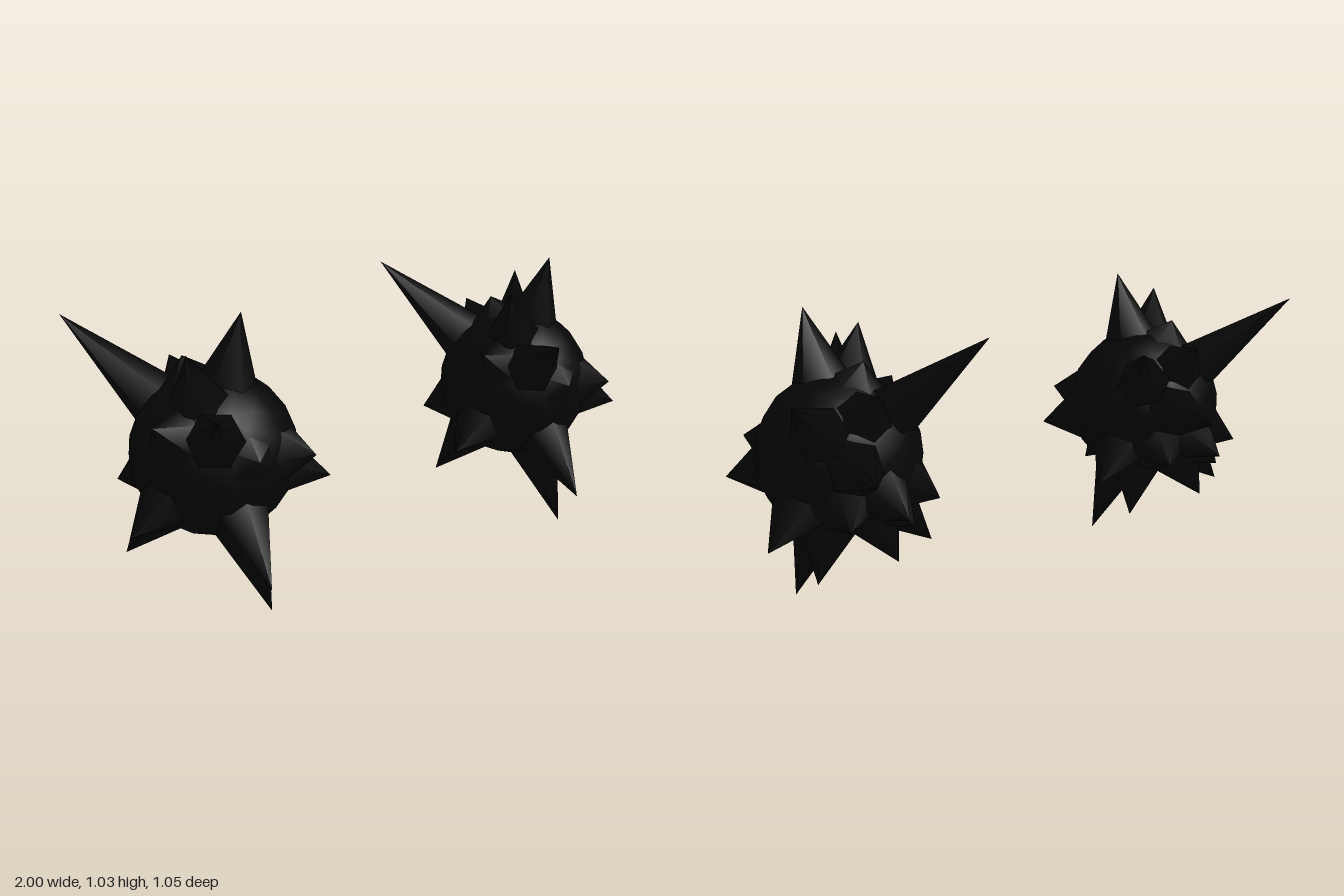
import * as THREE from 'three';

// Spike tips relative to the ball centre
const TIPS = [
  [-0.335, 0.425, -0.41], [-0.165, 0.40, 0.16], [0.07, 0.485, 0.09], [0.345, 0.295, -0.415],
  [0.145, 0.05, -0.55], [-0.05, -0.135, -0.385], [-0.245, 0.30, 0.505], [-0.03, -0.33, 0.41],
  [-0.29, -0.33, -0.10], [0.10, -0.545, 0.18], [0.15, -0.395, -0.12], [0.335, -0.235, -0.16],
  [0.315, -0.085, 0.22], [-0.365, -0.18, 0.11], [-0.295, 0.195, 0.17], [0.12, -0.165, -0.31],
  [-0.12, -0.195, -0.29], [-0.08, -0.32, -0.25], [-0.24, -0.13, -0.25], [-0.06, 0.32, -0.08],
  [0.0, 0.255, -0.30], [0.22, 0.03, 0.285], [0.30, -0.05, -0.01], [0.0, 0.06, 0.305],
];

const UP = new THREE.Vector3(0, 1, 0);
const CORE_RADIUS = 0.279;
const SPIKE_RADIUS = 0.097;
const SPIKE_ROOT = 0.255; // distance of a spike's base from the ball centre

// Six-sided spike rooted in the core, pointing at its tip
function spike(tip, material) {
  const height = tip.length() - SPIKE_ROOT;
  const direction = tip.clone().normalize();
  const mesh = new THREE.Mesh(new THREE.ConeGeometry(SPIKE_RADIUS, height, 6, 1, true), material);
  mesh.name = 'spike';
  mesh.quaternion.setFromUnitVectors(UP, direction);
  mesh.position.copy(direction).multiplyScalar(SPIKE_ROOT + height / 2);
  return mesh;
}

function spikedBall(name, material) {
  const ball = new THREE.Group();
  ball.name = name;
  const core = new THREE.Mesh(new THREE.IcosahedronGeometry(CORE_RADIUS, 3), material);
  core.name = 'core';
  ball.add(core);
  for (const t of TIPS) ball.add(spike(new THREE.Vector3(...t), material));
  return ball;
}

export function createModel() {
  const model = new THREE.Group();
  model.name = 'spikedBalls';
  const black = new THREE.MeshStandardMaterial({ color: 0x050505 });

  // Two identical balls side by side
  for (const [name, x] of [['rightBall', -0.635], ['leftBall', 0.655]]) {
    const ball = spikedBall(name, black);
    ball.position.set(x, 0.547, 0.02);
    model.add(ball);
  }
  return model;
}
